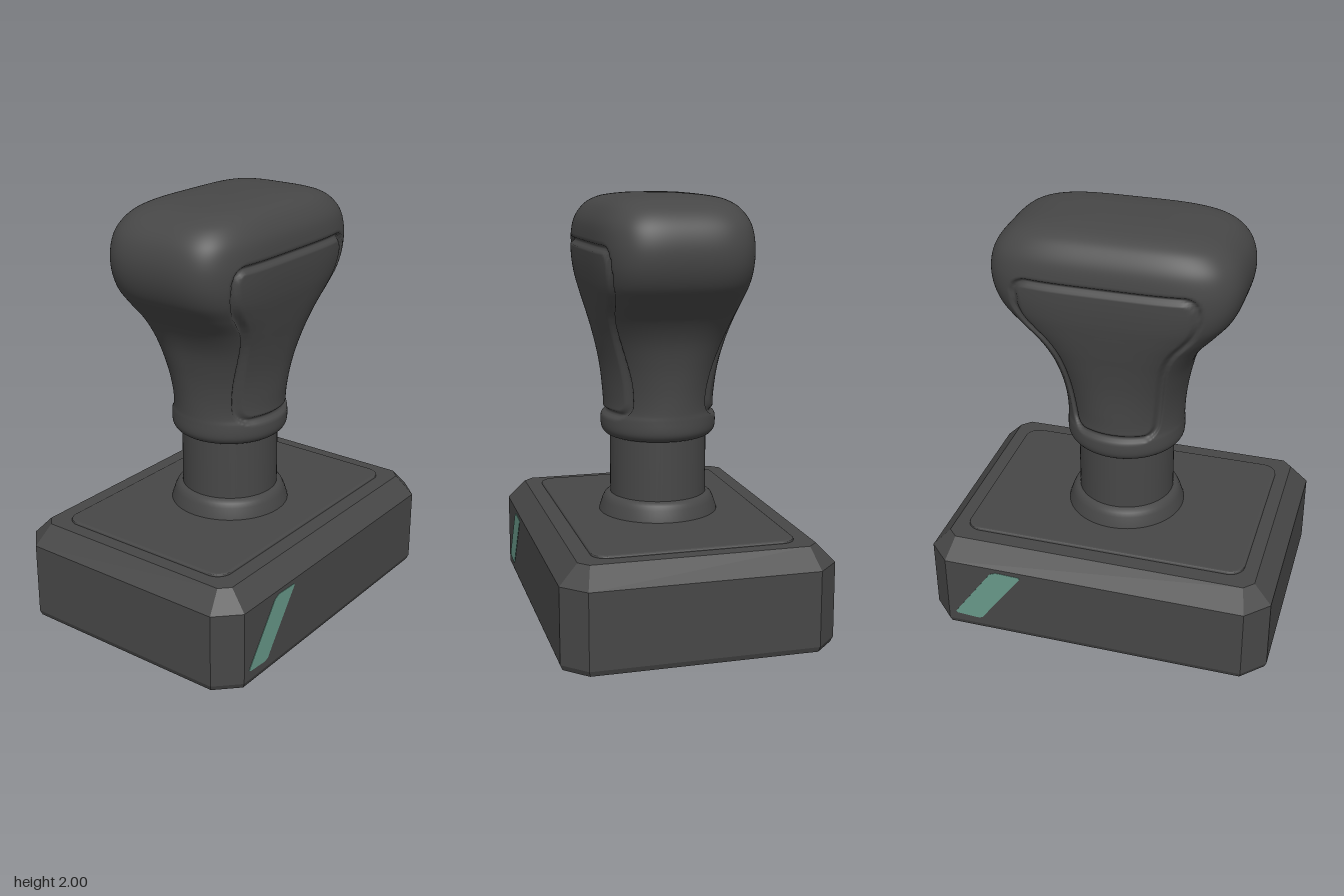
import * as THREE from 'three';

const dark = new THREE.MeshStandardMaterial({ color: 0x474747 });
dark.name = 'charcoal plastic';
const teal = new THREE.MeshStandardMaterial({ color: 0x68998a });
teal.name = 'teal accent';

// Skin a stack of equal-length loops, listed bottom to top
function loft(loops, flat) {
  const n = loops[0].length, pos = [], idx = [];
  for (const loop of loops) for (const p of loop) pos.push(p.x, p.y, p.z);
  for (let i = 0; i < loops.length - 1; i++) {
    for (let j = 0; j < n; j++) {
      const a = i * n + j, b = i * n + (j + 1) % n;
      idx.push(a, a + n, b, b, a + n, b + n);
    }
  }
  let geo = new THREE.BufferGeometry();
  geo.setAttribute('position', new THREE.Float32BufferAttribute(pos, 3));
  geo.setIndex(idx);
  if (flat) geo = geo.toNonIndexed();
  geo.computeVertexNormals();
  return geo;
}

// Rectangle with cut corners at height y
function octagon(w, d, cut, y) {
  const half = [[w, d - cut], [w - cut, d], [cut - w, d], [-w, d - cut]];
  return [...half, ...half.map(([x, z]) => [-x, -z])].map(([x, z]) => new THREE.Vector3(x, y, z));
}

function roundedRect(w, d, r) {
  const s = new THREE.Shape();
  s.absarc(w - r, d - r, r, 0, Math.PI / 2);
  s.absarc(r - w, d - r, r, Math.PI / 2, Math.PI);
  s.absarc(r - w, r - d, r, Math.PI, Math.PI * 1.5);
  s.absarc(w - r, r - d, r, Math.PI * 1.5, Math.PI * 2);
  return s;
}

// Outline of the grip inlay in x and y
function inlayOutline() {
  const s = new THREE.Shape();
  s.moveTo(0, 0.98);
  s.lineTo(0.13, 0.98);
  s.quadraticCurveTo(0.185, 0.98, 0.195, 1.04);
  s.bezierCurveTo(0.22, 1.22, 0.22, 1.38, 0.3, 1.48);
  s.bezierCurveTo(0.35, 1.54, 0.41, 1.58, 0.413, 1.69);
  s.quadraticCurveTo(0.413, 1.765, 0.35, 1.768);
  s.lineTo(0, 1.768);
  const right = s.getPoints(10);
  return [...right, ...right.map(p => new THREE.Vector2(-p.x, p.y)).reverse()];
}

function distanceTo(outline, x, y) {
  let best = 1;
  for (let i = 0; i < outline.length - 1; i++) {
    const a = outline[i], b = outline[i + 1];
    const ux = b.x - a.x, uy = b.y - a.y, len = ux * ux + uy * uy;
    const t = len ? THREE.MathUtils.clamp(((x - a.x) * ux + (y - a.y) * uy) / len, 0, 1) : 0;
    best = Math.min(best, Math.hypot(x - a.x - t * ux, y - a.y - t * uy));
  }
  return best;
}

// Grip: superellipse sections swept up a profile of half width, height, half depth
function handleGeometry() {
  const profile = [
    [0.2, 0.865, 0.2], [0.25, 0.865, 0.245], [0.278, 0.895, 0.27], [0.281, 0.965, 0.271],
    [0.28, 0.99, 0.262], [0.285, 1.1, 0.265], [0.302, 1.22, 0.276], [0.335, 1.34, 0.297],
    [0.39, 1.44, 0.319], [0.47, 1.53, 0.338], [0.535, 1.61, 0.352], [0.569, 1.7, 0.36],
    [0.573, 1.79, 0.359], [0.548, 1.87, 0.345], [0.49, 1.935, 0.305], [0.4, 1.973, 0.25],
    [0.27, 1.992, 0.165], [0.12, 1.999, 0.07], [0, 2, 0],
  ].map(p => new THREE.Vector3(...p));
  const outline = inlayOutline();
  const rows = new THREE.CatmullRomCurve3(profile).getSpacedPoints(210);
  const sides = 288;
  const loops = rows.map(({ x: a, y, z: b }) => {
    const power = 2 + 2 * THREE.MathUtils.smoothstep(y, 1.0, 1.7);
    const shift = 0.01 * THREE.MathUtils.smoothstep(y, 1.2, 1.7);
    return Array.from({ length: sides }, (_, j) => {
      const t = (j / sides) * Math.PI * 2, c = Math.cos(t), s = Math.sin(t);
      const r = (Math.abs(c) ** power + Math.abs(s) ** power) ** (-1 / power);
      const x = a * c * r;
      let z = b * s * r;
      // Press the groove around the inlay into both broad faces
      if (y > 0.94 && y < 1.82 && Math.abs(x) < 0.45) {
        const d = distanceTo(outline, x, y);
        z -= Math.sign(z) * 0.02 * (1 - THREE.MathUtils.smoothstep(d, 0.003, 0.02));
      }
      return new THREE.Vector3(x + shift, y, z);
    });
  });
  return loft(loops, false);
}

export function createModel() {
  const group = new THREE.Group();
  const add = (name, geometry, material = dark) => {
    const mesh = new THREE.Mesh(geometry, material);
    mesh.name = name;
    group.add(mesh);
    return mesh;
  };

  // Base block with softened bottom edge and chamfered top
  add('base', loft([
    octagon(0.001, 0.001, 0.0003, 0),
    octagon(0.795, 0.59, 0.09, 0),
    octagon(0.82, 0.615, 0.1, 0.01),
    octagon(0.83, 0.625, 0.105, 0.035),
    octagon(0.83, 0.625, 0.105, 0.385),
    octagon(0.745, 0.54, 0.045, 0.475),
    octagon(0.001, 0.001, 0.0003, 0.475),
  ], true));

  // Slightly raised cover on top of the base
  const cover = new THREE.ExtrudeGeometry(roundedRect(0.667, 0.452, 0.06), {
    depth: 0.01, bevelThickness: 0.008, bevelSize: 0.013, bevelSegments: 3, curveSegments: 10,
  });
  cover.rotateX(-Math.PI / 2).translate(0, 0.469, 0);
  add('topCover', cover);

  // Collar and stem
  const lathe = pts => new THREE.LatheGeometry(pts.map(p => new THREE.Vector2(...p)), 64);
  add('collar', lathe([[0.285, 0.48], [0.283, 0.495], [0.268, 0.54], [0.258, 0.56],
    [0.245, 0.571], [0.225, 0.577]]));
  const stem = add('stem', new THREE.CylinderGeometry(0.23, 0.23, 0.4, 64, 1, true));
  stem.position.y = 0.7;

  add('handle', handleGeometry());

  // Slanted accent on the front and, turned half round, on the back
  const slash = new THREE.Shape([
    [-0.69, 0.085], [-0.68, 0.077], [-0.57, 0.07], [-0.55, 0.078], [-0.51, 0.135],
    [-0.35, 0.352], [-0.352, 0.362], [-0.47, 0.366], [-0.5, 0.352],
  ].map(p => new THREE.Vector2(...p)));
  for (const [name, turn] of [['frontAccent', 0], ['backAccent', Math.PI]]) {
    const plate = new THREE.ExtrudeGeometry(slash, { depth: 0.004, bevelEnabled: false });
    plate.translate(0, 0, 0.623).rotateY(turn);
    add(name, plate, teal);
  }
  return group;
}
